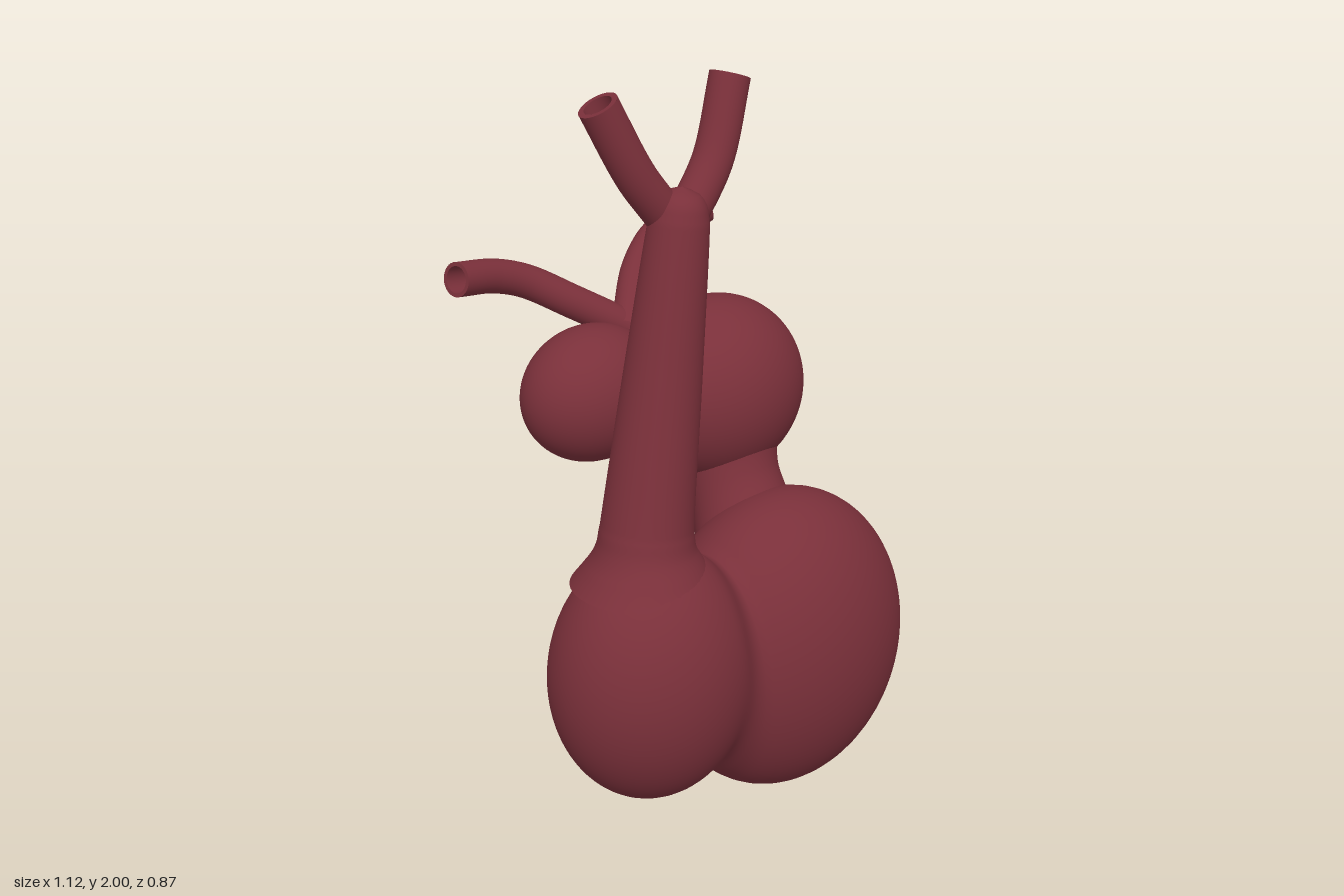
import * as THREE from 'three';
import { mergeVertices } from 'three/addons/utils/BufferGeometryUtils.js';

const tissue = new THREE.MeshStandardMaterial({ color: 0x7a303a, side: THREE.DoubleSide });
tissue.name = 'dark red tissue';

function part(name, geometry, parent) {
  const mesh = new THREE.Mesh(geometry, tissue);
  mesh.name = name;
  parent.add(mesh);
  return mesh;
}

// Smooth maximum, gives a soft fillet where two profiles cross
function smoothMax(a, b, k) {
  const h = Math.max(k - Math.abs(a - b), 0) / k;
  return Math.max(a, b) + h * h * k / 4;
}

// Extent of an ellipsoid at x, falling away steeply beyond its ends
function extent(e, x, axis, sign) {
  const t = Math.abs((x - e.c[0]) / e.r[0]);
  const s = t < 1 ? Math.sqrt(1 - t * t) : -6 * (t - 1);
  return sign * e.c[axis] + e.r[axis] * s;
}

// Two blended ellipsoidal chambers, lofted through cross-sections along x
function chamberPair(a, b, blend, rings = 96, sides = 64) {
  const x0 = a.c[0] - a.r[0], x1 = b.c[0] + b.r[0];
  const pos = [], index = [];
  for (let i = 0; i <= rings; i++) {
    const x = x0 + (x1 - x0) * (1 - Math.cos(Math.PI * i / rings)) / 2;
    const edge = (axis, sign) =>
      smoothMax(extent(a, x, axis, sign), extent(b, x, axis, sign), blend);
    const top = edge(1, 1), bottom = -edge(1, -1), front = edge(2, 1), back = -edge(2, -1);
    for (let j = 0; j < sides; j++) {
      const t = j / sides * Math.PI * 2;
      pos.push(x,
        (top + bottom) / 2 + (top - bottom) / 2 * Math.cos(t),
        (front + back) / 2 + (front - back) / 2 * Math.sin(t));
      if (i < rings) {
        const p = i * sides + j, q = i * sides + (j + 1) % sides;
        index.push(p, q, p + sides, q, q + sides, p + sides);
      }
    }
  }
  const g = new THREE.BufferGeometry();
  g.setAttribute('position', new THREE.Float32BufferAttribute(pos, 3));
  g.setIndex(index);
  g.computeVertexNormals();
  return g;
}

const pathOf = points => new THREE.CatmullRomCurve3(points.map(p => new THREE.Vector3(p[0], p[1], p[2])));

// Tube whose radius follows the fourth value of each path point
function taperedTube(points, segments = 64, sides = 40) {
  const path = pathOf(points);
  const radii = new THREE.CatmullRomCurve3(
    points.map(p => new THREE.Vector3(p[3], 0, 0)), false, 'catmullrom', 0.5);
  const g = new THREE.TubeGeometry(path, segments, 1, sides);
  const pos = g.attributes.position, v = new THREE.Vector3();
  for (let i = 0; i <= segments; i++) {
    const c = path.getPointAt(i / segments);
    const r = Math.max(radii.getPoint(path.getUtoTmapping(i / segments)).x, 0.0005);
    for (let j = 0; j <= sides; j++) {
      const n = i * (sides + 1) + j;
      v.fromBufferAttribute(pos, n).sub(c).multiplyScalar(r).add(c);
      pos.setXYZ(n, v.x, v.y, v.z);
    }
  }
  g.deleteAttribute('normal');
  g.deleteAttribute('uv');
  const merged = mergeVertices(g, 1e-5);
  merged.computeVertexNormals();
  return merged;
}

// Hollow vessel with an open, thick-walled end
function vessel(name, points, outer, inner, parent) {
  const group = new THREE.Group();
  group.name = name;
  const path = pathOf(points);
  part('outerWall', new THREE.TubeGeometry(path, 40, outer, 32), group);
  part('innerWall', new THREE.TubeGeometry(path, 40, inner, 32), group);
  const rim = part('rim', new THREE.RingGeometry(inner, outer, 32), group);
  const end = path.getPointAt(1);
  rim.position.copy(end);
  rim.lookAt(end.clone().add(path.getTangentAt(1)));
  parent.add(group);
}

export function createModel() {
  const model = new THREE.Group();
  model.name = 'heart';

  // Lower chambers
  part('ventricles', chamberPair(
    { c: [-0.28, 0.525, 0.175], r: [0.28, 0.35, 0.247] },
    { c: [0.185, 0.43, 0.147], r: [0.37, 0.43, 0.284] }, 0.07), model);

  // Upper chambers
  part('atria', chamberPair(
    { c: [-0.155, 1.135, -0.21], r: [0.2, 0.18, 0.163] },
    { c: [0.21, 1.065, -0.152], r: [0.255, 0.25, 0.222] }, 0.06), model);

  // Neck joining the large upper and lower chambers
  part('canal', taperedTube([
    [0.21, 1.0, -0.12, 0.17], [0.205, 0.93, -0.1, 0.145], [0.195, 0.845, -0.06, 0.128],
    [0.19, 0.77, -0.02, 0.132], [0.18, 0.7, 0.02, 0.14]]), model);

  // Outflow trunk, flared at its base and rounded at its top
  part('trunk', taperedTube([
    [-0.28, 0.77, 0.15, 0.19], [-0.275, 0.82, 0.147, 0.155], [-0.27, 0.87, 0.143, 0.127],
    [-0.262, 0.92, 0.138, 0.118], [-0.185, 1.31, 0.111, 0.097], [-0.113, 1.68, 0.088, 0.074],
    [-0.106, 1.72, 0.086, 0.063], [-0.102, 1.745, 0.085, 0.042], [-0.1, 1.76, 0.085, 0]], 120), model);

  // Forked arteries
  vessel('leftArtery', [[-0.1, 1.63, 0.065], [-0.06, 1.68, 0.06], [0.03, 1.79, 0.045],
    [0.11, 1.977, 0.015]], 0.051, 0.036, model);
  vessel('rightArtery', [[-0.1, 1.63, 0.065], [-0.135, 1.69, 0.06], [-0.21, 1.8, 0.045],
    [-0.295, 1.982, 0.015]], 0.05, 0.036, model);

  // Veins
  vessel('leftVein', [[-0.01, 1.26, -0.245], [0.02, 1.29, -0.27], [0.11, 1.37, -0.345],
    [0.22, 1.43, -0.39], [0.362, 1.475, -0.37]], 0.044, 0.034, model);
  vessel('rightVein', [[0.01, 1.255, -0.25], [-0.02, 1.275, -0.268], [-0.12, 1.34, -0.325],
    [-0.23, 1.41, -0.38], [-0.32, 1.445, -0.39], [-0.45, 1.475, -0.37]], 0.044, 0.034, model);

  return model;
}
